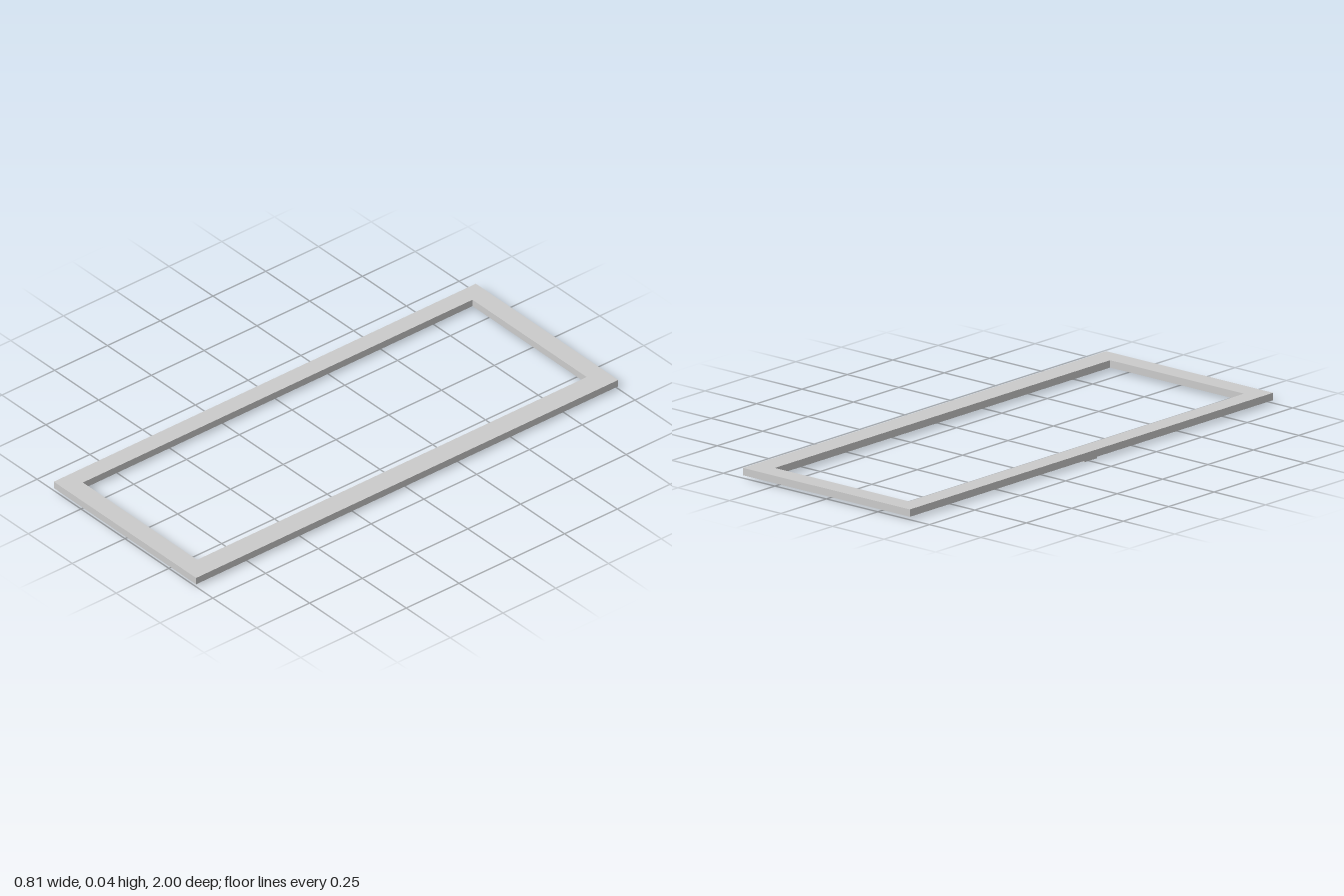
import * as THREE from 'three';

const rect = (P, x0, x1, y0, y1) => {
  const p = new P();
  p.moveTo(x0, y0);
  p.lineTo(x1, y0);
  p.lineTo(x1, y1);
  p.lineTo(x0, y1);
  p.closePath();
  return p;
};

export function createModel() {
  const group = new THREE.Group();
  const material = new THREE.MeshStandardMaterial({ color: 0xcccccc });
  const bottom = 0.011, top = 0.039;

  // Flat rectangular frame, with the opening slightly off centre
  const outline = rect(THREE.Shape, -0.405, 0.405, -1, 1);
  outline.holes.push(rect(THREE.Path, -0.333, 0.317, -0.922, 0.924));
  const frameGeometry = new THREE.ExtrudeGeometry(outline, { depth: top - bottom, bevelEnabled: false });
  frameGeometry.rotateX(-Math.PI / 2);
  frameGeometry.translate(0, bottom, 0);
  const frame = new THREE.Mesh(frameGeometry, material);
  frame.name = 'frame';
  group.add(frame);

  // Small catch under the right rail
  const catchTab = new THREE.Mesh(new THREE.BoxGeometry(0.024, bottom, 0.07), material);
  catchTab.name = 'catchTab';
  catchTab.position.set(-0.381, bottom / 2, 0.009);
  group.add(catchTab);

  return group;
}
